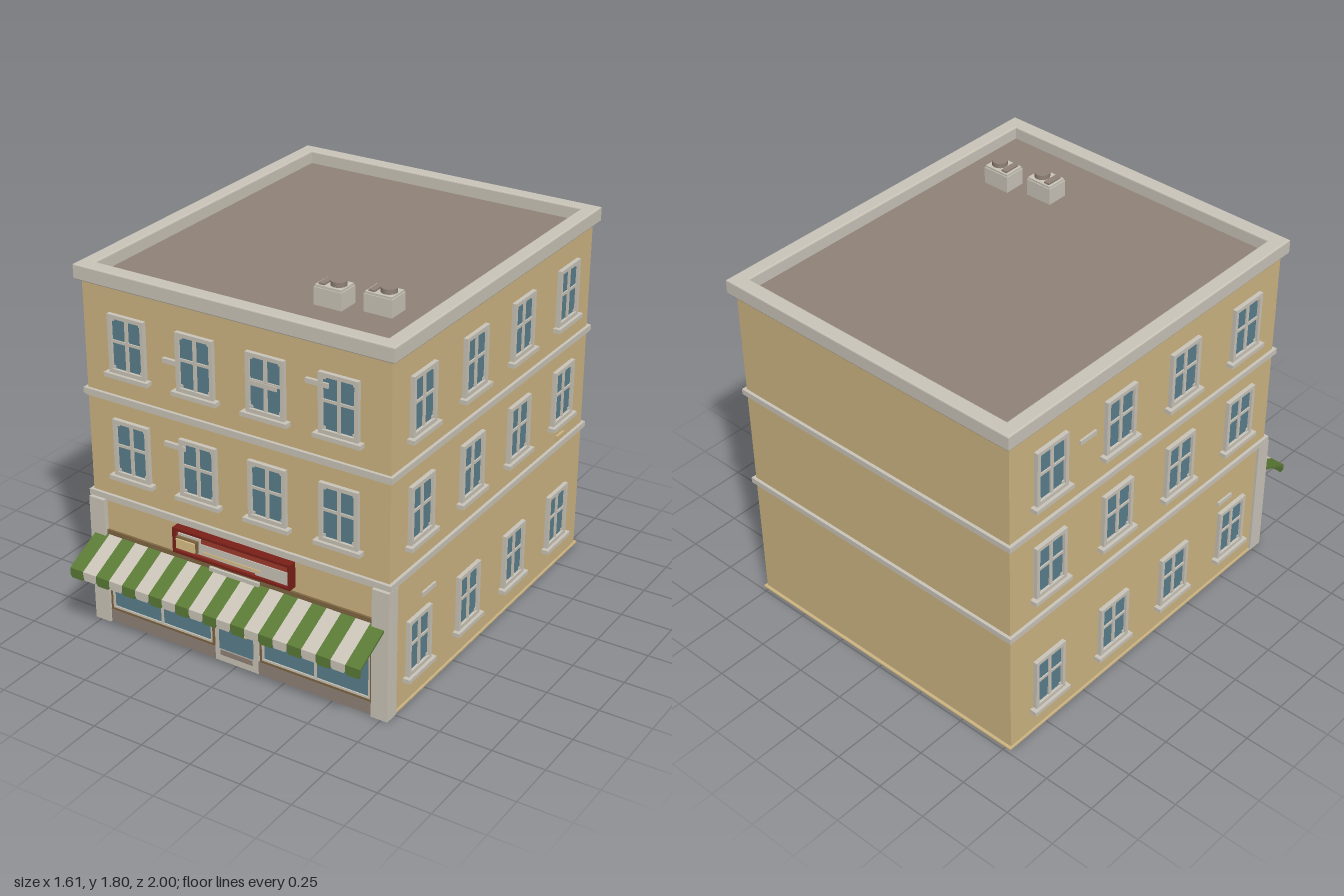
import * as THREE from 'three';

const mat = (name, color, side = THREE.FrontSide) => {
  const m = new THREE.MeshStandardMaterial({ color, side });
  m.name = name;
  return m;
};

export function createModel() {
  const M = {
    wall: mat('tan wall', 0xcdb583),
    stone: mat('pale stone', 0xcac4b8),
    glass: mat('blue glass', 0x5a7f8d),
    roof: mat('brown grey', 0x908278),
    green: mat('awning green', 0x5b7a36),
    red: mat('sign red', 0xa03a2c),
    darkRed: mat('dark red', 0x7a2018),
    brown: mat('dark timber', 0x7d6440),
    gold: mat('sign gold', 0xdcc088),
  };
  const model = new THREE.Group();
  model.name = 'cornerShopBuilding';

  const add = (parent, name, geo, material) => {
    const m = new THREE.Mesh(geo, material);
    m.name = name;
    parent.add(m);
    return m;
  };
  // Box given by its minimum and maximum on each axis
  const box = (parent, name, material, x0, x1, y0, y1, z0, z1) => {
    const g = new THREE.BoxGeometry(x1 - x0, y1 - y0, z1 - z0);
    g.translate((x0 + x1) / 2, (y0 + y1) / 2, (z0 + z1) / 2);
    return add(parent, name, g, material);
  };
  const rect = (C, x0, x1, y0, y1) => {
    const s = new C();
    s.moveTo(x0, y0).lineTo(x1, y0).lineTo(x1, y1).lineTo(x0, y1).closePath();
    return s;
  };
  // Rectangular frame of border t, extruded towards +z
  const frameGeo = (x0, x1, y0, y1, t, depth, bevel = 0) => {
    const s = rect(THREE.Shape, x0, x1, y0, y1);
    s.holes.push(rect(THREE.Path, x0 + t, x1 - t, y0 + t, y1 - t));
    const g = new THREE.ExtrudeGeometry(s, {
      depth: depth - 2 * bevel, bevelEnabled: bevel > 0, bevelSize: bevel,
      bevelThickness: bevel, bevelOffset: -bevel, bevelSegments: 2,
    });
    return g.translate(0, 0, bevel);
  };
  const frame = (parent, name, material, x0, x1, y0, y1, t, z0, z1) =>
    add(parent, name, frameGeo(x0, x1, y0, y1, t, z1 - z0).translate(0, 0, z0), material);

  // Main walls, base slab and string courses
  box(model, 'walls', M.wall, -0.77, 0.77, 0, 1.685, -0.97, 0.79);
  box(model, 'baseSlab', M.wall, -0.78, 0.78, 0, 0.008, -0.985, 0.8);
  for (const y of [0.635, 1.138]) {
    box(model, 'stringCourse', M.stone, -0.785, 0.785, y + 0.005, y + 0.032, -0.985, 0.805);
    box(model, 'stringCourseShadowTrim', M.stone, -0.778, 0.778, y - 0.004, y + 0.005, -0.978, 0.798);
  }

  // Parapet ring around the flat roof
  const ring = frameGeo(-0.795, 0.795, -0.815, 1.0, 0.07, 0.072, 0.006);
  ring.rotateX(-Math.PI / 2).translate(0, 1.678, 0);
  add(model, 'parapet', ring, M.stone);
  box(model, 'roof', M.roof, -0.75, 0.75, 1.683, 1.69, -0.95, 0.77);

  // Rooftop air units
  for (const [x, z] of [[0.225, 0.41], [0.435, 0.36]]) {
    const unit = new THREE.Group();
    unit.name = 'airUnit';
    unit.position.set(x, 1.69, z);
    model.add(unit);
    box(unit, 'unitCase', M.stone, 0, 0.136, 0, 0.08, 0, 0.106);
    box(unit, 'unitLid', M.stone, 0.004, 0.132, 0.08, 0.09, 0.004, 0.102);
    box(unit, 'unitVent', M.roof, 0.016, 0.045, 0.09, 0.098, 0.013, 0.093);
    const fan = new THREE.CylinderGeometry(0.036, 0.036, 0.022, 16);
    add(unit, 'unitFan', fan.translate(0.09, 0.101, 0.053), M.roof);
  }

  // Sash window facing +z, origin at the middle of the sill top
  const makeWindow = () => {
    const w = new THREE.Group();
    w.name = 'window';
    box(w, 'glass', M.glass, -0.08, 0.08, 0.015, 0.255, 0, 0.007);
    frame(w, 'frame', M.stone, -0.095, 0.095, 0, 0.272, 0.018, 0, 0.02);
    box(w, 'mullion', M.stone, -0.008, 0.008, 0.015, 0.256, 0, 0.014);
    box(w, 'transom', M.stone, -0.078, 0.078, 0.14, 0.153, 0, 0.013);
    for (const sx of [-1, 1]) for (const y of [0.024, 0.248])
      box(w, 'cornerBlock', M.stone, sx * 0.072 - 0.007, sx * 0.072 + 0.007, y - 0.007, y + 0.007, 0, 0.012);
    box(w, 'sill', M.stone, -0.115, 0.115, -0.02, 0, 0, 0.035);
    return w;
  };
  const placeWindow = (x, y, z, turn) => {
    const w = makeWindow();
    w.position.set(x, y, z);
    w.rotation.y = turn;
    model.add(w);
  };
  for (const y of [0.785, 1.285])
    for (const x of [-0.535, -0.18, 0.175, 0.53]) placeWindow(x, y, 0.79, 0);
  for (const s of [-1, 1])
    for (const y of [0.138, 0.785, 1.285])
      for (const z of [0.555, 0.125, -0.3, -0.73]) placeWindow(s * 0.77, y, z, s * Math.PI / 2);

  // Loose raised bricks on the walls
  for (const [x, y, w] of [[-0.31, 1.408, 0.075], [0.425, 1.5, 0.11], [0.165, 1.42, 0.13], [-0.3, 1.012, 0.11]])
    box(model, 'raisedBrick', M.stone, x - w / 2, x + w / 2, y - 0.011, y + 0.011, 0.78, 0.806);
  for (const [s, z, y, w] of [[1, 0.47, 0.482, 0.11], [-1, -0.5, 1.44, 0.1], [-1, 0.5, 0.47, 0.1]])
    box(model, 'raisedBrick', M.stone, s * 0.772 - 0.008, s * 0.772 + 0.008, y - 0.011, y + 0.011, z - w / 2, z + w / 2);
  box(model, 'raisedBrick', M.wall, 0.765, 0.782, 0.683, 0.707, -0.77, -0.7);

  // Shopfront: pilasters, plinth and timber lintel
  for (const s of [-1, 1]) {
    const [a, b] = s > 0 ? [0.7, 0.782] : [-0.782, -0.7];
    box(model, 'pilaster', M.stone, a, b, 0, 0.635, 0.74, 0.815);
  }
  box(model, 'plinth', M.roof, -0.7, 0.7, 0, 0.065, 0.78, 0.803);
  box(model, 'lintel', M.brown, -0.7, 0.7, 0.47, 0.48, 0.78, 0.802);
  for (const s of [-1, 1]) {
    const shop = new THREE.Group();
    shop.name = 'shopWindow';
    shop.position.x = s * 0.41;
    model.add(shop);
    box(shop, 'shopGlass', M.glass, -0.27, 0.27, 0.08, 0.46, 0.785, 0.795);
    frame(shop, 'timberFrame', M.brown, -0.288, 0.288, 0.065, 0.47, 0.01, 0.785, 0.803);
    frame(shop, 'stoneFrame', M.stone, -0.278, 0.278, 0.075, 0.46, 0.01, 0.785, 0.801);
    box(shop, 'shopMullion', M.stone, -0.006, 0.006, 0.08, 0.46, 0.785, 0.8);
  }

  // Door
  const door = new THREE.Group();
  door.name = 'door';
  model.add(door);
  box(door, 'doorPanel', M.stone, -0.115, 0.115, 0, 0.465, 0.78, 0.805);
  box(door, 'doorGlass', M.glass, -0.09, 0.09, 0.068, 0.44, 0.805, 0.81);
  box(door, 'kickPlate', M.roof, -0.085, 0.085, 0.035, 0.06, 0.805, 0.81);
  box(door, 'doorHead', M.stone, -0.13, 0.13, 0.455, 0.474, 0.78, 0.815);
  const knob = new THREE.SphereGeometry(0.011, 12, 8);
  add(door, 'doorKnob', knob.translate(0.06, 0.18, 0.816), M.gold);

  // Striped awning: one sloped strip and one valance flap per stripe
  const awning = new THREE.Group();
  awning.name = 'awning';
  model.add(awning);
  const count = 21, width = 1.52 / count;
  const slope = new THREE.Shape();
  slope.moveTo(0.79, 0.453).lineTo(0.995, 0.353).lineTo(1.0, 0.362).lineTo(0.79, 0.466).closePath();
  for (let i = 0; i < count; i++) {
    const green = i % 2 === 0, x = -0.76 + i * width, m = green ? M.green : M.stone;
    const strip = new THREE.ExtrudeGeometry(slope, { depth: width, bevelEnabled: false });
    strip.rotateY(-Math.PI / 2).translate(x + width, 0, 0);
    add(awning, 'awningStripe', strip, m);
    const bottom = green ? 0.314 : 0.319;
    const flap = new THREE.Shape();
    flap.moveTo(0, 0.362).lineTo(0, bottom + 0.015).lineTo(0.008, bottom).lineTo(width - 0.008, bottom);
    flap.lineTo(width, bottom + 0.015).lineTo(width, 0.362).closePath();
    const flapGeo = new THREE.ExtrudeGeometry(flap, { depth: 0.008, bevelEnabled: false });
    add(awning, 'awningValance', flapGeo.translate(x, 0, 0.992), m);
  }

  // Shop sign with plain painted panels
  const sign = new THREE.Group();
  sign.name = 'sign';
  model.add(sign);
  box(sign, 'signBoard', M.red, -0.3, 0.3, 0.51, 0.62, 0.785, 0.818);
  frame(sign, 'signFrame', M.darkRed, -0.31, 0.305, 0.503, 0.626, 0.012, 0.785, 0.833);
  box(sign, 'signPanel', M.stone, -0.295, 0.29, 0.518, 0.58, 0.818, 0.822);
  box(sign, 'signBackPlate', M.stone, -0.285, -0.165, 0.53, 0.604, 0.818, 0.824);
  box(sign, 'signStripe', M.gold, -0.155, 0.145, 0.536, 0.547, 0.822, 0.825);
  box(sign, 'signLowerStripe', M.red, -0.295, 0.12, 0.518, 0.526, 0.822, 0.825);
  box(sign, 'plaqueEdge', M.brown, -0.286, -0.176, 0.534, 0.592, 0.82, 0.84);
  box(sign, 'plaque', M.gold, -0.28, -0.182, 0.54, 0.586, 0.82, 0.848);

  return model;
}
